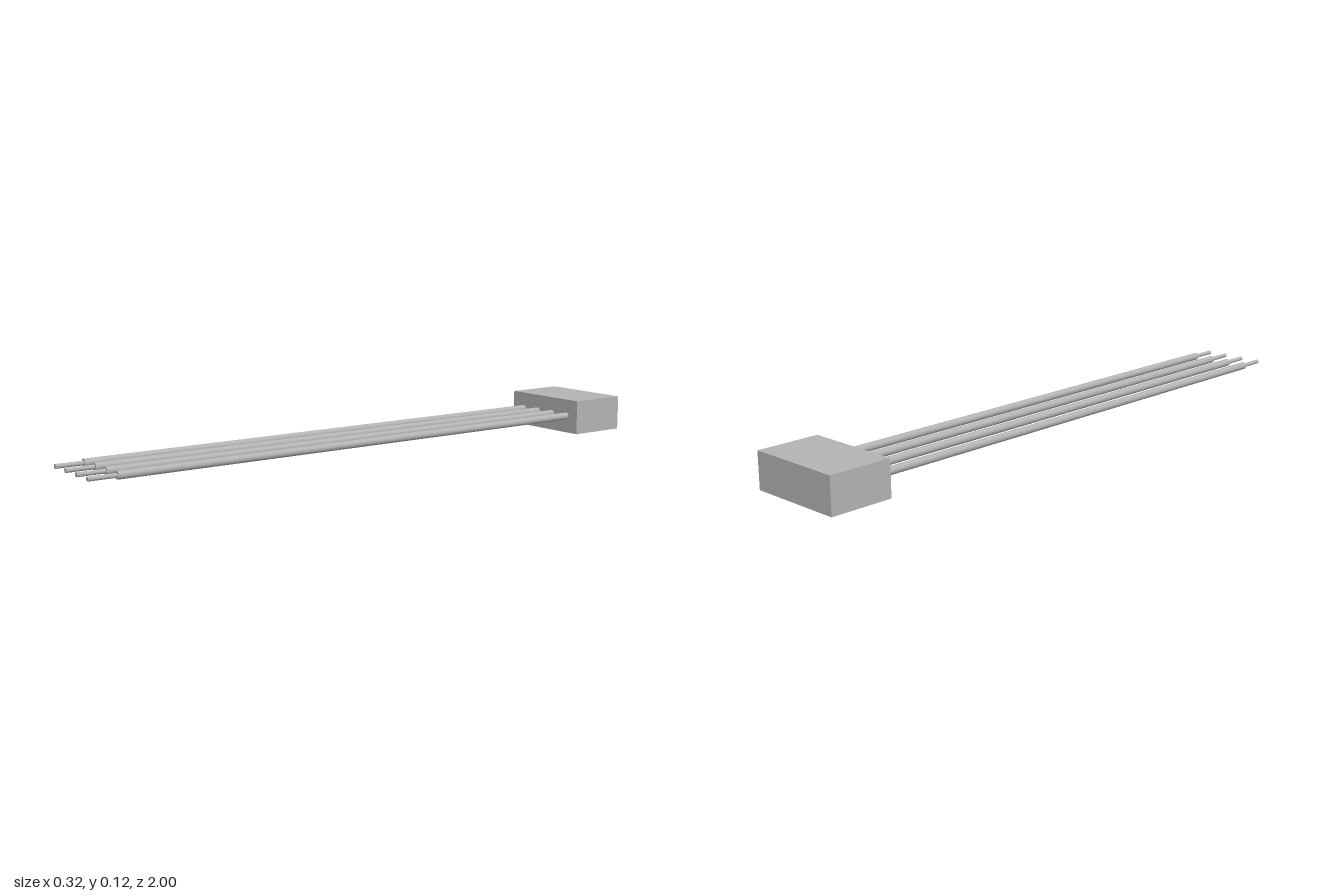
import * as THREE from 'three';

export function createModel() {
  const group = new THREE.Group();
  const grey = new THREE.MeshStandardMaterial({ color: 0xb3b3b3 });
  grey.name = 'plain grey';

  const centreY = 0.0575;
  const housingFront = -0.797;

  // Connector block at the back
  const housing = new THREE.Mesh(new THREE.BoxGeometry(0.318, 0.115, 1 + housingFront), grey);
  housing.name = 'connectorHousing';
  housing.position.set(0, centreY, (housingFront - 1) / 2);
  group.add(housing);

  // Round rod running along z
  function rod(name, radius, z0, z1) {
    const geometry = new THREE.CylinderGeometry(radius, radius, z1 - z0, 16);
    geometry.rotateX(Math.PI / 2);
    const mesh = new THREE.Mesh(geometry, grey);
    mesh.name = name;
    mesh.position.z = (z0 + z1) / 2;
    return mesh;
  }

  // Four insulated wires with stripped ends
  for (let i = 0; i < 4; i++) {
    const wire = new THREE.Group();
    wire.name = `wire${i + 1}`;
    wire.position.set((i - 1.5) * 0.0715, centreY, 0);
    wire.add(rod('insulation', 0.0125, housingFront, 0.913));
    wire.add(rod('bareConductor', 0.007, 0.913, 1));
    group.add(wire);
  }
  return group;
}
